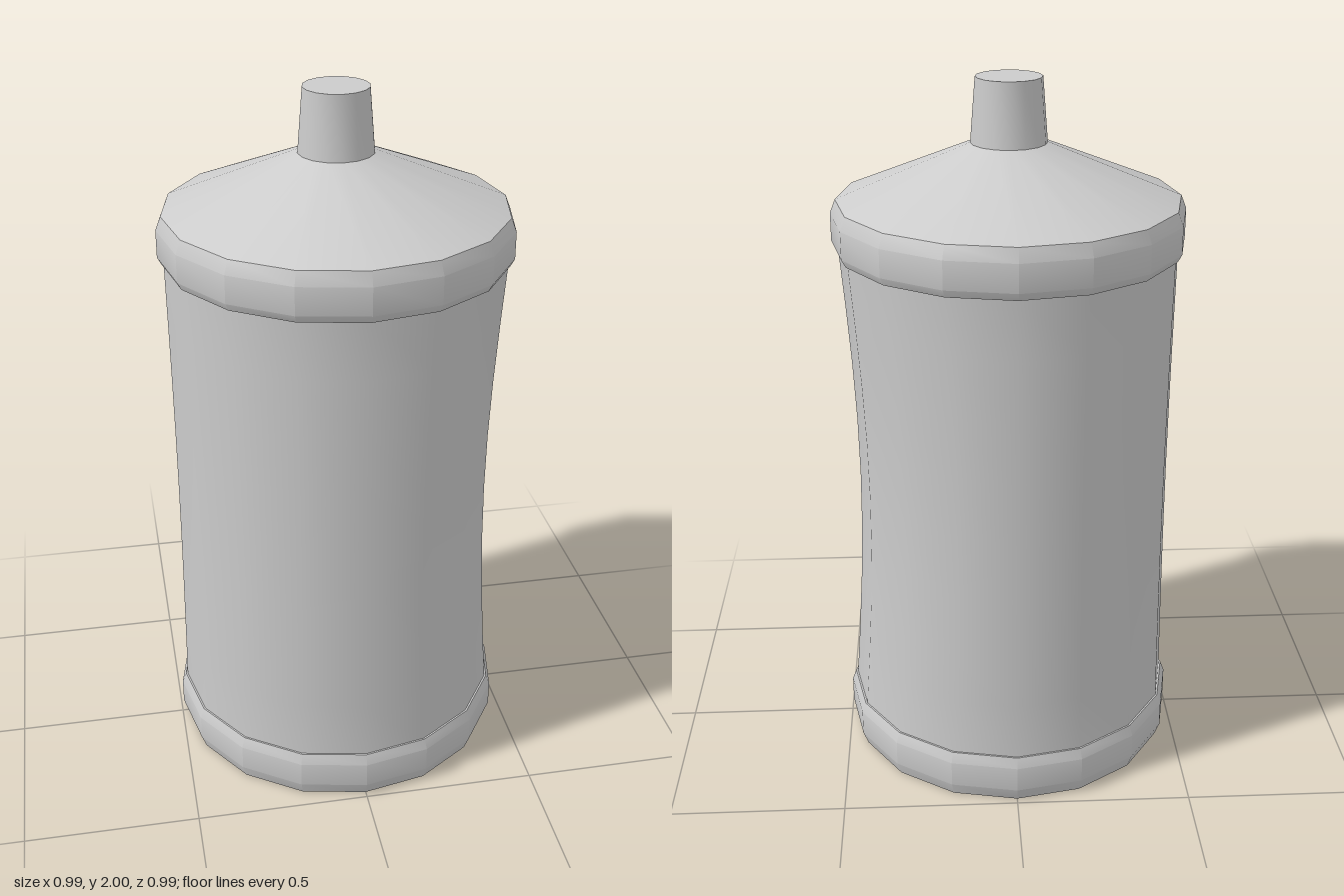
import * as THREE from 'three';
import { toCreasedNormals } from 'three/addons/utils/BufferGeometryUtils.js';

const SIDES = 16;
const material = new THREE.MeshStandardMaterial({ color: 0xcccccc });

// Turned part from [radius, height] pairs, listed from bottom to top
function turned(name, profile, shape) {
  const points = profile.map(([r, y]) => new THREE.Vector2(r, y));
  const geometry = new THREE.LatheGeometry(points, SIDES);
  if (shape) shape(geometry.attributes.position);
  const mesh = new THREE.Mesh(toCreasedNormals(geometry, 0.5), material);
  mesh.name = name;
  return mesh;
}

export function createModel() {
  const model = new THREE.Group();
  model.name = 'canister';

  // Bottom rim with chamfered edges and a closed base
  model.add(turned('bottomRim', [
    [0, 0], [0.48, 0], [0.495, 0.04], [0.495, 0.115], [0.483, 0.145], [0.46, 0.145],
  ]));

  // Body wall, pressed in on the left side and very slightly on the right
  const low = 0.14, high = 1.535, rows = 8;
  const wall = [];
  for (let i = 0; i <= rows; i++) wall.push([0.478, low + (high - low) * i / rows]);
  model.add(turned('body', wall, (p) => {
    for (let i = 0; i < p.count; i++) {
      const x = p.getX(i);
      const bend = Math.sin(Math.PI * (p.getY(i) - low) / (high - low));
      const side = x / 0.478;
      const push = side > 0 ? 0.036 * Math.sqrt(side) : 0.006 * side;
      p.setX(i, x - push * bend);
    }
  }));

  // Top rim running into the conical shoulder
  model.add(turned('lid', [
    [0.46, 1.53], [0.483, 1.53], [0.495, 1.552], [0.495, 1.63], [0.48, 1.668], [0.106, 1.822],
  ]));

  // Tapered nozzle with a flat top
  model.add(turned('nozzle', [[0.106, 1.822], [0.092, 2], [0, 2]]));

  return model;
}
